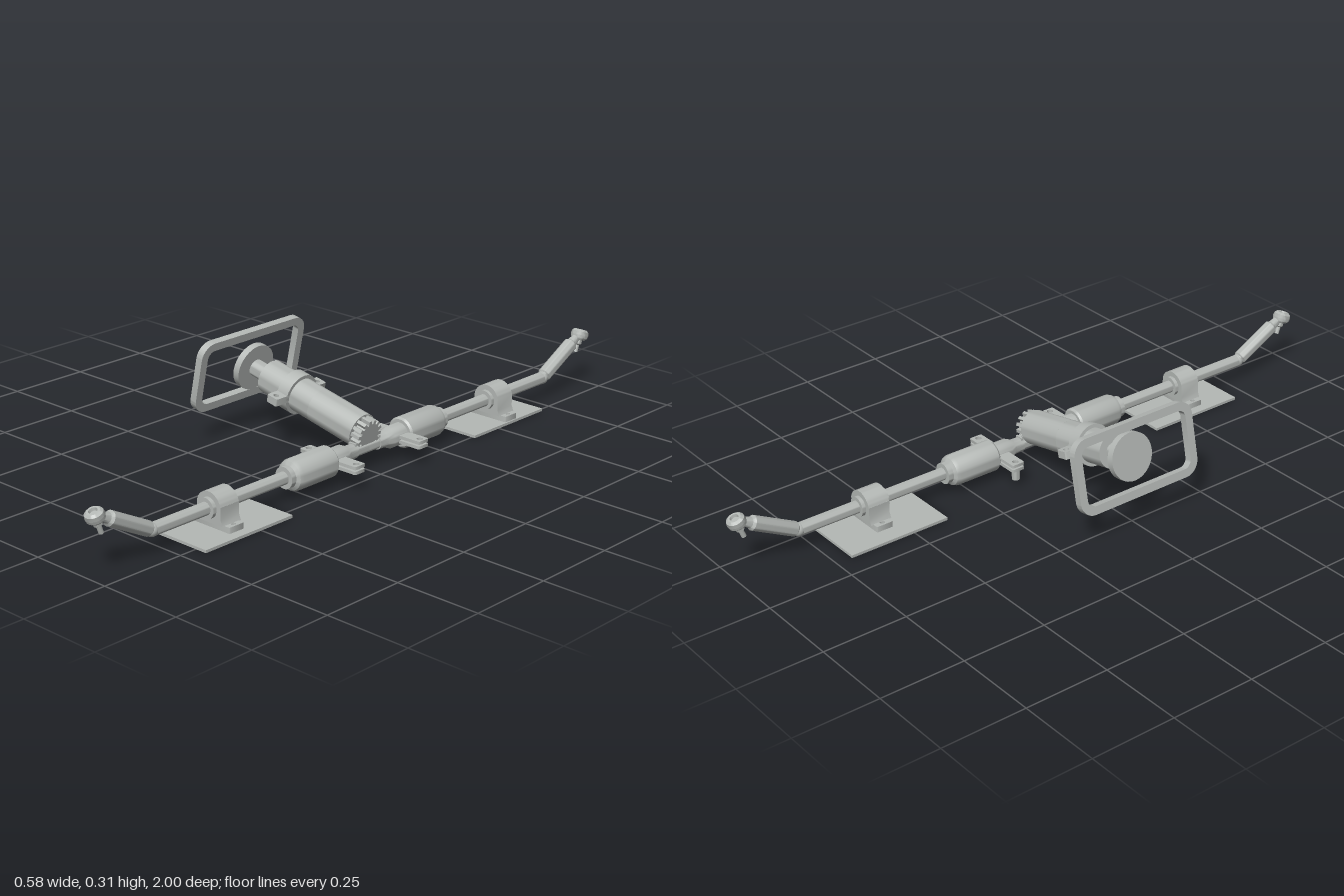
import * as THREE from 'three';
import { toCreasedNormals } from 'three/addons/utils/BufferGeometryUtils.js';

const metal = new THREE.MeshStandardMaterial({ color: 0xb4b8b5 });
metal.name = 'light grey metal';

function add(parent, name, geometry, x = 0, y = 0, z = 0) {
  const mesh = new THREE.Mesh(geometry, metal);
  mesh.name = name;
  mesh.position.set(x, y, z);
  parent.add(mesh);
  return mesh;
}

// Turned part around the y axis from [radius, height] pairs
function turned(points, sides = 32) {
  const profile = points.map(([r, h]) => new THREE.Vector2(r, h));
  return toCreasedNormals(new THREE.LatheGeometry(profile, sides), 0.6);
}
const rod = (r, a, b) => turned([[0, a], [r, a], [r, b], [0, b]]);
const alongZ = (geometry) => geometry.rotateX(Math.PI / 2);

function roundRect(path, w, h, r) {
  const x = w / 2, y = h / 2;
  path.moveTo(-x + r, -y);
  path.lineTo(x - r, -y);
  path.absarc(x - r, -y + r, r, -Math.PI / 2, 0);
  path.lineTo(x, y - r);
  path.absarc(x - r, y - r, r, 0, Math.PI / 2);
  path.lineTo(-x + r, y);
  path.absarc(-x + r, y - r, r, Math.PI / 2, Math.PI);
  path.lineTo(-x, -y + r);
  path.absarc(-x + r, -y + r, r, Math.PI, Math.PI * 1.5);
  return path;
}

// Extrude a shape, centred on its thickness
function slab(shape, depth) {
  const g = new THREE.ExtrudeGeometry(shape, { depth, bevelEnabled: false, curveSegments: 10 });
  return toCreasedNormals(g.translate(0, 0, -depth / 2), 0.6);
}

// Flat plate lying in xz with round holes
function plate(w, d, thick, holes, r) {
  const shape = roundRect(new THREE.Shape(), w, d, 0.004);
  for (const [x, y] of holes) {
    shape.holes.push(new THREE.Path().absarc(x, y, r, 0, Math.PI * 2, true));
  }
  return slab(shape, thick).rotateX(-Math.PI / 2);
}

function gearShape(teeth, inner, outer) {
  const shape = new THREE.Shape();
  for (let i = 0; i < teeth; i++) {
    [[0, inner], [0.3, inner], [0.42, outer], [0.88, outer]].forEach(([f, r], k) => {
      const a = ((i + f) / teeth) * Math.PI * 2;
      shape[i + k ? 'lineTo' : 'moveTo'](Math.cos(a) * r, Math.sin(a) * r);
    });
  }
  return shape;
}

// Column, built upward along its own axis and then tilted
function buildColumn() {
  const column = new THREE.Group();
  column.name = 'steeringColumn';
  add(column, 'pinionGear', slab(gearShape(14, 0.035, 0.046), 0.032).rotateX(-Math.PI / 2), 0, 0.002);
  add(column, 'lowerTube', rod(0.05, 0.016, 0.178));
  add(column, 'upperTube', rod(0.0498, 0.178, 0.373));
  add(column, 'innerShaft', rod(0.025, 0.37, 0.435));

  // Clamp with two drilled ears
  add(column, 'clampRing', rod(0.06, 0.25, 0.288));
  const ears = add(column, 'clampEars', plate(0.038, 0.2, 0.022, [[0, 0.083], [0, -0.083]], 0.008), 0, 0.269);
  ears.rotation.z = Math.PI / 2;

  // Wheel hub and open rectangular rim
  add(column, 'wheelHub', rod(0.069, 0.4325, 0.453));
  const rim = roundRect(new THREE.Shape(), 0.217, 0.41, 0.045);
  rim.holes.push(roundRect(new THREE.Path(), 0.169, 0.362, 0.024));
  add(column, 'wheelRim', slab(rim, 0.022).rotateX(-Math.PI / 2), 0, 0.464);

  column.position.set(0.195, 0.105, 0);
  column.rotation.z = 1.359;
  return column;
}

// Bearing pedestal with an arched top
function buildBearing() {
  const bearing = new THREE.Group();
  bearing.name = 'bearingBlock';
  const arch = new THREE.Shape();
  arch.moveTo(-0.05, -0.041);
  arch.lineTo(0.05, -0.041);
  arch.lineTo(0.043, -0.025);
  arch.lineTo(0.043, 0.01);
  arch.absarc(0, 0, 0.044, 0.23, Math.PI - 0.23);
  arch.lineTo(-0.043, -0.025);
  add(bearing, 'bearingBody', slab(arch, 0.066));
  add(bearing, 'bearingCollar', alongZ(rod(0.029, -0.044, 0.044)));
  add(bearing, 'bearingFoot', plate(0.136, 0.052, 0.017, [[0.055, 0], [-0.055, 0]], 0.007), 0, -0.048);
  return bearing;
}

// One half of the rack, running outward along +z
function buildHalf(side) {
  const half = new THREE.Group();
  half.name = side > 0 ? 'frontHalf' : 'rearHalf';
  add(half, 'rackRod', alongZ(rod(0.018, 0, 0.79)));
  add(half, 'innerCollar', alongZ(turned([
    [0, 0.045], [0.021, 0.045], [0.022, 0.075], [0.031, 0.095], [0.031, 0.15], [0, 0.15]])));
  add(half, 'housing', alongZ(turned([
    [0, 0.146], [0.04, 0.146], [0.045, 0.152], [0.045, 0.285], [0.041, 0.296],
    [0.031, 0.302], [0.031, 0.318], [0, 0.318]])));

  // Pair of drilled mounting plates with a bushing below one end
  for (const y of [0.005, -0.009]) {
    add(half, 'mountPlate', plate(0.204, 0.04, 0.009, [[0.087, 0], [-0.087, 0]], 0.009), 0, y, 0.13);
  }
  add(half, 'mountBushing', rod(0.0115, -0.044, -0.012), -0.088 * side, 0, 0.13);

  const bearing = buildBearing();
  bearing.position.z = 0.56;
  half.add(bearing);

  // Raised tie rod
  add(half, 'elbow', new THREE.SphereGeometry(0.019, 20, 14), 0, 0, 0.79);
  const tie = add(half, 'tieRod', turned([
    [0, 0], [0.016, 0], [0.017, 0.01], [0.021, 0.014], [0.021, 0.155], [0.015, 0.162],
    [0.012, 0.185], [0, 0.185]]), 0, 0, 0.79);
  tie.quaternion.setFromUnitVectors(new THREE.Vector3(0, 1, 0), new THREE.Vector3(0, 0.47, 0.883).normalize());

  // Ball joint with a dished top and a stud beneath
  const joint = new THREE.Group();
  joint.name = 'ballJoint';
  add(joint, 'jointEye', turned([
    [0, -0.014], [0.018, -0.016], [0.025, -0.009], [0.027, 0], [0.025, 0.01],
    [0.018, 0.016], [0.012, 0.016], [0.01, 0.008], [0, 0.008]]));
  add(joint, 'jointStud', turned([
    [0, -0.054], [0.007, -0.054], [0.007, -0.032], [0.012, -0.028], [0.012, -0.01], [0, -0.01]]));
  joint.position.set(0, 0.093, 0.972);
  joint.rotation.x = 0.35;
  half.add(joint);

  half.rotation.y = side > 0 ? 0 : Math.PI;
  return half;
}

export function createModel() {
  const model = new THREE.Group();
  model.name = 'steeringAssembly';
  model.add(buildColumn());

  const rack = new THREE.Group();
  rack.name = 'steeringRack';
  rack.position.set(0.19, 0.065, 0);
  rack.add(buildHalf(1), buildHalf(-1));
  // Rack teeth under the pinion
  for (let i = -4; i <= 4; i++) {
    add(rack, 'rackTooth', new THREE.BoxGeometry(0.026, 0.012, 0.006), 0, 0.018, i * 0.012);
  }
  model.add(rack);

  // Thin floor plates
  const floor = new THREE.BoxGeometry(0.193, 0.008, 0.312);
  add(model, 'frontFloorPlate', floor, 0.19, 0.004, 0.541);
  add(model, 'rearFloorPlate', floor, 0.165, 0.004, -0.547);
  return model;
}
